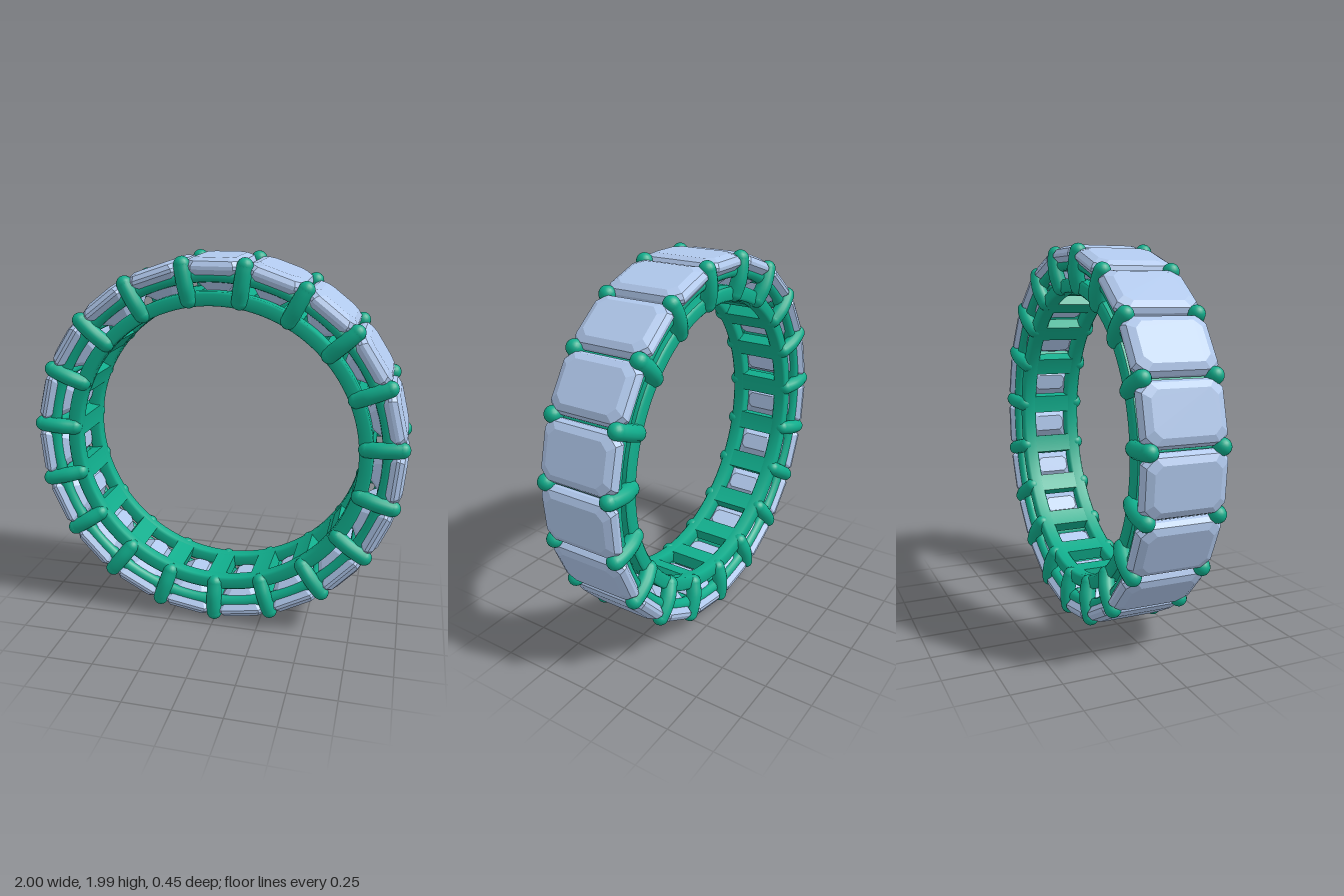
import * as THREE from 'three';

const COUNT = 19, STEP = Math.PI * 2 / COUNT;

// Ring rail: chamfered rectangular section swept round the z axis
function rail(r0, r1, z0, z1, c) {
  const p = [[r1, z0 + c], [r1, z1 - c], [r1 - c, z1], [r0 + c, z1], [r0, z1 - c],
    [r0, z0 + c], [r0 + c, z0], [r1 - c, z0], [r1, z0 + c]];
  return new THREE.LatheGeometry(p.map(q => new THREE.Vector2(...q)), 114).rotateX(Math.PI / 2);
}

// Octagonal step-cut stone: stacked cut-corner rectangles, y is the radial direction
function stoneGeometry() {
  // radius, half width, half depth, corner cut
  const levels = [[0.80, 0.045, 0.09, 0.02], [0.87, 0.105, 0.165, 0.035], [0.928, 0.15, 0.214, 0.045],
    [0.945, 0.15, 0.214, 0.045], [0.968, 0.137, 0.2, 0.043], [0.984, 0.105, 0.165, 0.036]];
  const loops = levels.map(([y, w, d, c]) => [[w, d - c], [w - c, d], [c - w, d], [-w, d - c],
    [-w, c - d], [c - w, -d], [w - c, -d], [w, c - d]].map(([x, z]) => [x, y, z]));
  const pos = [];
  const tri = (a, b, c) => pos.push(...a, ...b, ...c);
  for (let k = 0; k < loops.length - 1; k++) {
    for (let i = 0; i < 8; i++) {
      const j = (i + 1) % 8, lo = loops[k], hi = loops[k + 1];
      tri(lo[i], hi[i], hi[j]);
      tri(lo[i], hi[j], lo[j]);
    }
  }
  const bottom = loops[0], top = loops[loops.length - 1];
  for (let i = 1; i < 7; i++) {
    tri(bottom[0], bottom[i], bottom[i + 1]);
    tri(top[0], top[i + 1], top[i]);
  }
  const g = new THREE.BufferGeometry();
  g.setAttribute('position', new THREE.Float32BufferAttribute(pos, 3));
  g.computeVertexNormals();
  return g;
}

// Bridge between the inner rails, a short arc centred on +y
function bridgeGeometry(r0, r1, half, depth) {
  const s = new THREE.Shape();
  s.absarc(0, 0, r1, Math.PI / 2 - half, Math.PI / 2 + half, false);
  s.absarc(0, 0, r0, Math.PI / 2 + half, Math.PI / 2 - half, true);
  return new THREE.ExtrudeGeometry(s, { depth, bevelEnabled: false, curveSegments: 6 })
    .translate(0, 0, -depth / 2);
}

export function createModel() {
  const model = new THREE.Group();
  model.name = 'ring';
  const metal = new THREE.MeshStandardMaterial({ color: 0x10ad8c });
  const gem = new THREE.MeshStandardMaterial({ color: 0xb0c8ec, flatShading: true });
  const add = (parent, name, geometry, material = metal) => {
    const m = new THREE.Mesh(geometry, material);
    m.name = name;
    parent.add(m);
    return m;
  };

  const body = new THREE.Group();
  body.name = 'band';
  body.position.y = 1.003;
  model.add(body);

  // Inner band edges and outer round rails
  for (const s of [-1, 1]) {
    add(body, 'innerRail', rail(0.748, 0.82, s > 0 ? 0.1 : -0.178, s > 0 ? 0.178 : -0.1, 0.012));
    add(body, 'outerRail', new THREE.TorusGeometry(0.897, 0.033, 12, 114)).position.z = s * 0.16;
  }

  const R = 0.042;
  const path = new THREE.CatmullRomCurve3([[0.785, 0.165], [0.85, 0.183], [0.92, 0.185], [0.96, 0.18]]
    .map(([y, z]) => new THREE.Vector3(0, y, z)));
  const shaft = new THREE.TubeGeometry(path, 10, R, 14);
  const ball = new THREE.SphereGeometry(R, 16, 12);
  const bridge = bridgeGeometry(0.75, 0.818, 0.068, 0.24);
  const bar = new THREE.CylinderGeometry(0.03, 0.03, 0.36, 12).rotateX(Math.PI / 2);
  const stone = stoneGeometry();

  for (let i = 0; i < COUNT; i++) {
    // Claw station: bridge, cross bar and a pair of mirrored prongs
    const station = new THREE.Group();
    station.name = 'prongStation';
    station.rotation.z = Math.PI + i * STEP;
    body.add(station);
    add(station, 'bridge', bridge);
    add(station, 'crossBar', bar).position.y = 0.9;
    for (const turn of [0, Math.PI]) {
      const prong = new THREE.Group();
      prong.name = 'prong';
      prong.rotation.y = turn;
      station.add(prong);
      add(prong, 'prongShaft', shaft);
      add(prong, 'prongTip', ball).position.set(0, 0.96, 0.18);
      add(prong, 'prongFoot', ball).position.set(0, 0.785, 0.165);
    }
    // Stone between two stations
    add(body, 'stone', stone, gem).rotation.z = Math.PI + (i + 0.5) * STEP;
  }
  return model;
}
